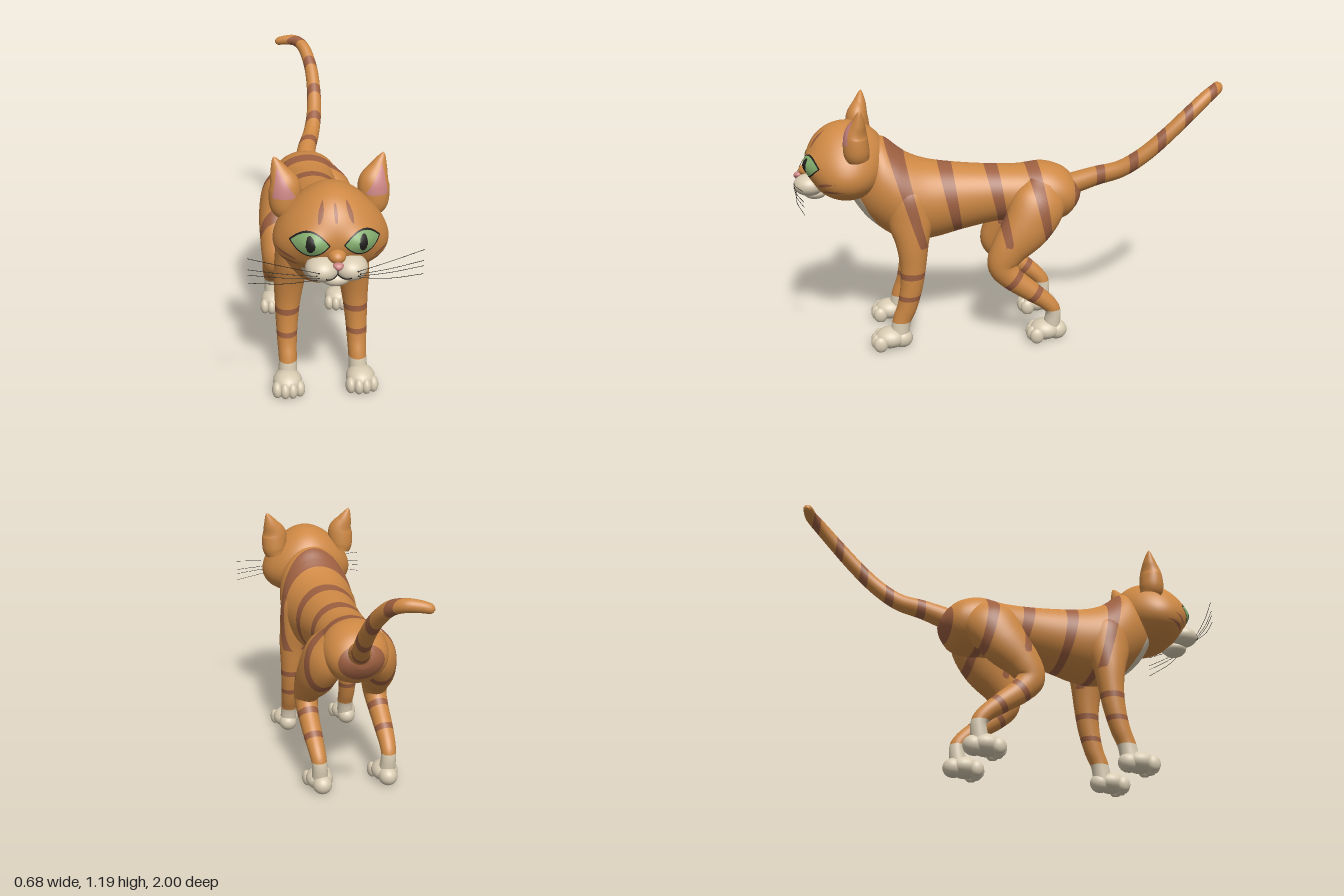
import * as THREE from 'three';
import { mergeVertices } from 'three/addons/utils/BufferGeometryUtils.js';

const V = (x, y, z) => new THREE.Vector3(x, y, z);
const mat = (name, color) => new THREE.MeshStandardMaterial({ name, color });

// Smooth curve whose parameter stays in step with its fellow curves
const curve = (pts) => new THREE.CatmullRomCurve3(pts, false, 'catmullrom', 0.5);

// Skin over rings; ring(t) gives centre c and half axes a, b
function loft(ring, rows, cols) {
  const pos = [], idx = [];
  for (let i = 0; i <= rows; i++) {
    const { c, a, b } = ring(i / rows);
    for (let j = 0; j < cols; j++) {
      const q = (j / cols) * Math.PI * 2;
      const p = c.clone().addScaledVector(a, Math.cos(q)).addScaledVector(b, Math.sin(q));
      pos.push(p.x, p.y, p.z);
      if (i === rows) continue;
      const k = (j + 1) % cols, o = i * cols;
      idx.push(o + j, o + k, o + cols + j, o + k, o + cols + k, o + cols + j);
    }
  }
  const g = new THREE.BufferGeometry();
  g.setAttribute('position', new THREE.Float32BufferAttribute(pos, 3));
  g.setIndex(idx);
  return g;
}

// Limb from rows [x, y, z, radius across, radius deep]
function limb(sections, rows, cols, side = 1, ref = V(1, 0, 0)) {
  const path = curve(sections.map((s) => V(s[0] * side, s[1], s[2])));
  const size = curve(sections.map((s) => V(s[3], s[4], 0)));
  return loft((t) => {
    const c = path.getPoint(t), r = size.getPoint(t), d = path.getTangent(t);
    const a = ref.clone().addScaledVector(d, -ref.dot(d)).normalize();
    const b = d.clone().cross(a);
    return { c, a: a.multiplyScalar(r.x), b: b.multiplyScalar(r.y) };
  }, rows, cols);
}

// Ellipsoid with an optional rule that moves each vertex of the unit sphere
function ball(c, r, w = 28, h = 20, warp = (n) => V(c[0] + n.x * r[0], c[1] + n.y * r[1], c[2] + n.z * r[2])) {
  let g = new THREE.SphereGeometry(1, w, h);
  g.deleteAttribute('uv');
  g.deleteAttribute('normal');
  g = mergeVertices(g, 1e-5);
  const p = g.attributes.position;
  for (let i = 0; i < p.count; i++) {
    const v = warp(V().fromBufferAttribute(p, i));
    p.setXYZ(i, v.x, v.y, v.z);
  }
  return g;
}

// Mesh whose faces are cut cleanly along the edge of each marking, f(x, y, z) > 0
function paint(name, geo, base, layers = []) {
  geo.computeVertexNormals();
  const g = geo.toNonIndexed(), P = g.attributes.position, N = g.attributes.normal;
  const bins = [base, ...layers.map((l) => l[0])].map(() => []);
  const fan = (poly, bin) => {
    for (let i = 2; i < poly.length; i++) bin.push(poly[0], poly[i - 1], poly[i]);
  };
  for (let i = 0; i < P.count; i += 3) {
    let rest = [0, 1, 2].map((k) => [...V().fromBufferAttribute(P, i + k), ...V().fromBufferAttribute(N, i + k)]);
    layers.forEach(([, f], n) => {
      const d = rest.map((p) => f(p[0], p[1], p[2])), inside = [], outside = [];
      rest.forEach((p, a) => {
        const b = (a + 1) % rest.length;
        (d[a] > 0 ? inside : outside).push(p);
        if (d[a] > 0 === d[b] > 0) return;
        const k = d[a] / (d[a] - d[b]), m = p.map((v, c) => v + (rest[b][c] - v) * k);
        inside.push(m);
        outside.push(m);
      });
      fan(inside, bins[n + 1]);
      rest = outside;
    });
    fan(rest, bins[0]);
  }
  const out = new THREE.BufferGeometry(), all = bins.flat();
  out.setAttribute('position', new THREE.Float32BufferAttribute(all.flatMap((v) => v.slice(0, 3)), 3));
  out.setAttribute('normal', new THREE.Float32BufferAttribute(all.flatMap((v) => v.slice(3)), 3));
  let start = 0;
  bins.forEach((b, i) => { out.addGroup(start, b.length, i); start += b.length; });
  const mesh = new THREE.Mesh(out, layers.length ? [base, ...layers.map((l) => l[0])] : base);
  mesh.name = name;
  return mesh;
}

// Pointed lens marking in the front plane
function lens(x, y, cx, cy, angle, len, wid) {
  const c = Math.cos(angle), s = Math.sin(angle), dx = x - cx, dy = y - cy;
  const u = dx * c + dy * s, v = dy * c - dx * s;
  return wid * (1 - (u / len) ** 2) - Math.abs(v);
}

export function createModel() {
  const cat = new THREE.Group();
  cat.name = 'cat';
  const fur = mat('orange fur', 0xcd8844), stripe = mat('brown stripe', 0x9c5f40), cream = mat('cream fur', 0xd8cbb2);
  const green = mat('green iris', 0x86b070), pink = mat('pink skin', 0xcc8684), dark = mat('dark line', 0x22201e);
  const add = (...args) => cat.add(paint(...args));

  // Slanted flank bands, shared by body, shoulders and thighs
  const bands = (x, y, z) => Math.max(...[[0.51, 0.27], [0.31, 0.18], [0.1, 0.2], [-0.09, 0.2]].map(
    ([z0, k]) => 0.018 + 0.04 * (y - 0.5) - Math.abs(z - z0 - k * (y - 0.82))));
  const upperBands = (x, y, z) => Math.min(bands(x, y, z), y - 0.49);

  // Body: top z, top y, bottom z, bottom y, half width, from rump to neck
  const ribs = [
    [-0.322, 0.685, -0.322, 0.675, 0.001], [-0.318, 0.71, -0.318, 0.65, 0.045], [-0.285, 0.76, -0.295, 0.61, 0.1],
    [-0.23, 0.805, -0.25, 0.565, 0.14], [-0.14, 0.83, -0.18, 0.548, 0.155], [-0.02, 0.82, -0.08, 0.555, 0.14],
    [0.12, 0.825, 0.06, 0.555, 0.135], [0.28, 0.84, 0.22, 0.525, 0.15], [0.4, 0.86, 0.36, 0.49, 0.17],
    [0.48, 0.89, 0.46, 0.482, 0.185], [0.53, 0.925, 0.56, 0.51, 0.185], [0.57, 0.96, 0.66, 0.585, 0.17],
    [0.6, 0.975, 0.72, 0.66, 0.145], [0.64, 0.97, 0.76, 0.74, 0.13],
  ];
  const top = curve(ribs.map((r) => V(0, r[1], r[0]))), low = curve(ribs.map((r) => V(0, r[3], r[2])));
  const wide = curve(ribs.map((r) => V(r[4], 0, 0)));
  add('body', loft((t) => {
    const p = top.getPoint(t), q = low.getPoint(t);
    return { c: p.clone().add(q).multiplyScalar(0.5), a: wide.getPoint(t), b: p.clone().sub(q).multiplyScalar(0.5) };
  }, 120, 64), fur, [
    [cream, (x, y, z) => Math.min(1 - (x / 0.112) ** 2 - ((y - 0.69) / 0.16) ** 2, z - 0.56)],
    [stripe, bands],
    [stripe, (x, y, z) => -0.283 - z],
  ]);

  // Tail, curling to the right at the tip
  add('tail', limb([
    [0.01, 0.715, -0.27, 0.052, 0.052], [0.035, 0.76, -0.39, 0.045, 0.045], [0.07, 0.8, -0.5, 0.04, 0.04],
    [0.095, 0.87, -0.6, 0.037, 0.037], [0.105, 0.96, -0.7, 0.035, 0.035], [0.1, 1.055, -0.8, 0.033, 0.033],
    [0.075, 1.13, -0.89, 0.031, 0.031], [0.035, 1.157, -0.945, 0.028, 0.028], [-0.02, 1.155, -0.968, 0.024, 0.024],
    [-0.058, 1.146, -0.98, 0.018, 0.018], [-0.071, 1.143, -0.984, 0.001, 0.001],
  ], 110, 24, 1, V(0, 1, 0)), fur, [
    [stripe, (x, y, z) => 0.019 - Math.min(...[0.405, 0.55, 0.675, 0.8, 0.925].map((s) => Math.abs(z + s - (y - 0.9) * 0.02)))],
  ]);

  // Head: wide cheeks, narrower crown, slight swelling behind the eyes
  const almond = (grow) => (x, y, z) =>
    Math.min(lens(Math.abs(x), y, 0.101, 0.878, 0.03, 0.07 + grow, 0.045 + grow), z - 0.77);
  const face = (...marks) => (x, y, z) =>
    Math.min(Math.max(...marks.map((m) => lens(Math.abs(x), y, ...m))), z - 0.76);
  add('head', ball(null, null, 150, 110, (n) => {
    const x = n.x * (0.222 - 0.062 * n.y), y = 0.87 + n.y * (n.y > 0 ? 0.185 : 0.172);
    const swell = n.z > 0 ? 0.025 * Math.exp(-(((Math.abs(x) - 0.1) / 0.055) ** 2) - ((y - 0.88) / 0.045) ** 2) : 0;
    return V(x, y, 0.755 + n.z * 0.185 + swell);
  }), fur, [
    [dark, (x, y, z) => Math.min(1 - ((Math.abs(x) - 0.102) / 0.018) ** 2 - ((y - 0.88) / 0.034) ** 2, z - 0.77)],
    [green, almond(0)],
    [dark, almond(0.006)],
    [stripe, face([0, 0.985, Math.PI / 2, 0.04, 0.007], [0.056, 0.985, 1.85, 0.042, 0.009],
      [0.185, 0.808, 0.35, 0.042, 0.006], [0.18, 0.775, 0.2, 0.045, 0.006])],
  ]);

  // Muzzle, chin, nose and mouth
  const padZ = (x, y) =>
    0.926 + 0.07 * Math.sqrt(Math.max(0, 1 - ((Math.abs(x) - 0.055) / 0.066) ** 2 - ((y - 0.777) / 0.05) ** 2));
  const line = (name, pts, r) => {
    const g = new THREE.TubeGeometry(new THREE.CatmullRomCurve3(pts), 16, r, 5);
    const m = new THREE.Mesh(g, dark);
    m.name = name;
    cat.add(m);
  };
  add('chin', ball([0, 0.728, 0.905], [0.062, 0.034, 0.055]), cream);
  add('noseBridge', ball([0, 0.83, 0.93], [0.036, 0.03, 0.045]), fur);
  add('nose', ball(null, null, 24, 16, (n) =>
    V(n.x * 0.025 * (0.75 + 0.35 * n.y), 0.806 + n.y * 0.016, 0.978 + n.z * 0.02)), pink);
  line('mouthCentre', [V(0, 0.795, 0.985), V(0, 0.78, 0.966), V(0, 0.766, 0.964)], 0.003);

  for (const s of [1, -1]) {
    const side = s > 0 ? 'left' : 'right';
    add(side + 'MuzzlePad', ball([s * 0.055, 0.777, 0.926], [0.066, 0.05, 0.07], 36, 24), cream);
    line(side + 'Mouth', [[0, 0.767], [0.015, 0.758], [0.032, 0.755], [0.05, 0.763]].map(
      ([x, y]) => V(s * x, y, padZ(x, y))), 0.003);

    // Whiskers and their roots
    [[0.788, 0.835], [0.776, 0.788], [0.768, 0.765], [0.756, 0.73]].forEach(([y0, y1], i) => {
      const x = 0.075 + 0.008 * (i % 2), z = padZ(x, y0);
      add(side + 'WhiskerRoot', ball([s * x, y0, z], [0.004, 0.003, 0.003], 8, 6), dark);
      line(side + 'Whisker', [V(s * x, y0, z), V(s * 0.2, y0 + (y1 - y0) * 0.55, 0.972), V(s * 0.34, y1, 0.93)], 0.0011);
    });

    // Ear with pink lining on its front
    add(side + 'Ear', limb([
      [0.17, 0.92, 0.7, 0.05, 0.05], [0.177, 0.96, 0.705, 0.061, 0.057], [0.176, 1.03, 0.705, 0.062, 0.051],
      [0.195, 1.085, 0.692, 0.038, 0.032], [0.211, 1.13, 0.685, 0.014, 0.012], [0.215, 1.146, 0.683, 0.001, 0.001],
    ], 40, 36, s), fur, [
      [pink, (x, y, z) => Math.min(y - 0.994, (Math.abs(x) - 0.134) * 0.85 - (y - 0.994) * 0.53,
        0.228 - Math.abs(x) - (y - 0.994) * 0.18, z - 0.694)],
    ]);

    // Front leg
    add(side + 'FrontLeg', limb([
      [0.1, 0.8, 0.49, 0.03, 0.05], [0.115, 0.72, 0.49, 0.072, 0.095], [0.125, 0.6, 0.48, 0.077, 0.1],
      [0.14, 0.5, 0.475, 0.068, 0.075], [0.148, 0.4, 0.475, 0.057, 0.06], [0.153, 0.3, 0.485, 0.049, 0.052],
      [0.155, 0.2, 0.508, 0.043, 0.046], [0.155, 0.13, 0.535, 0.04, 0.043], [0.158, 0.05, 0.55, 0.042, 0.045],
    ], 64, 32, s), fur, [
      [cream, (x, y) => 0.126 - y],
      [stripe, (x, y) => Math.max(0.014 - Math.abs(y - 0.356), 0.012 - Math.abs(y - 0.247))],
      [stripe, upperBands],
    ]);

    // Hind leg, bands running square to the shin
    add(side + 'HindLeg', limb([
      [0.09, 0.74, -0.15, 0.05, 0.09], [0.12, 0.66, -0.11, 0.088, 0.125], [0.145, 0.56, -0.05, 0.088, 0.115],
      [0.165, 0.46, 0.035, 0.07, 0.085], [0.172, 0.385, 0.065, 0.058, 0.068], [0.175, 0.32, 0.02, 0.05, 0.056],
      [0.175, 0.25, -0.07, 0.045, 0.047], [0.173, 0.19, -0.145, 0.039, 0.038], [0.17, 0.14, -0.175, 0.036, 0.036],
      [0.165, 0.05, -0.165, 0.04, 0.042],
    ], 70, 32, s), fur, [
      [cream, (x, y) => 0.155 - y],
      [stripe, (x, y, z) => {
        const d = -0.75 * z - 0.65 * y;
        return Math.min(0.015 - Math.min(Math.abs(d + 0.215), Math.abs(d + 0.09)), 0.42 - y);
      }],
      [stripe, upperBands],
    ]);

    // Paws: sole, heel and four toes, flat underneath
    for (const [name, z0] of [['FrontPaw', 0.583], ['HindPaw', -0.148]]) {
      const paw = new THREE.Group();
      paw.name = side + name;
      const lump = (part, c, r) => paw.add(paint(part, ball(null, null, 24, 18, (n) =>
        V(c[0] + n.x * r[0], Math.max(0, c[1] + n.y * r[1]), c[2] + n.z * r[2])), cream));
      lump('sole', [0, 0.048, 0.01], [0.064, 0.05, 0.072]);
      lump('heel', [0, 0.042, -0.045], [0.046, 0.046, 0.05]);
      for (const i of [-1.5, -0.5, 0.5, 1.5]) {
        lump('toe', [i * 0.033, 0.034, 0.068 - 0.006 * i * i], [0.023, 0.038, 0.033]);
      }
      paw.position.set(s * 0.162, 0, z0);
      cat.add(paw);
    }
  }
  return cat;
}
